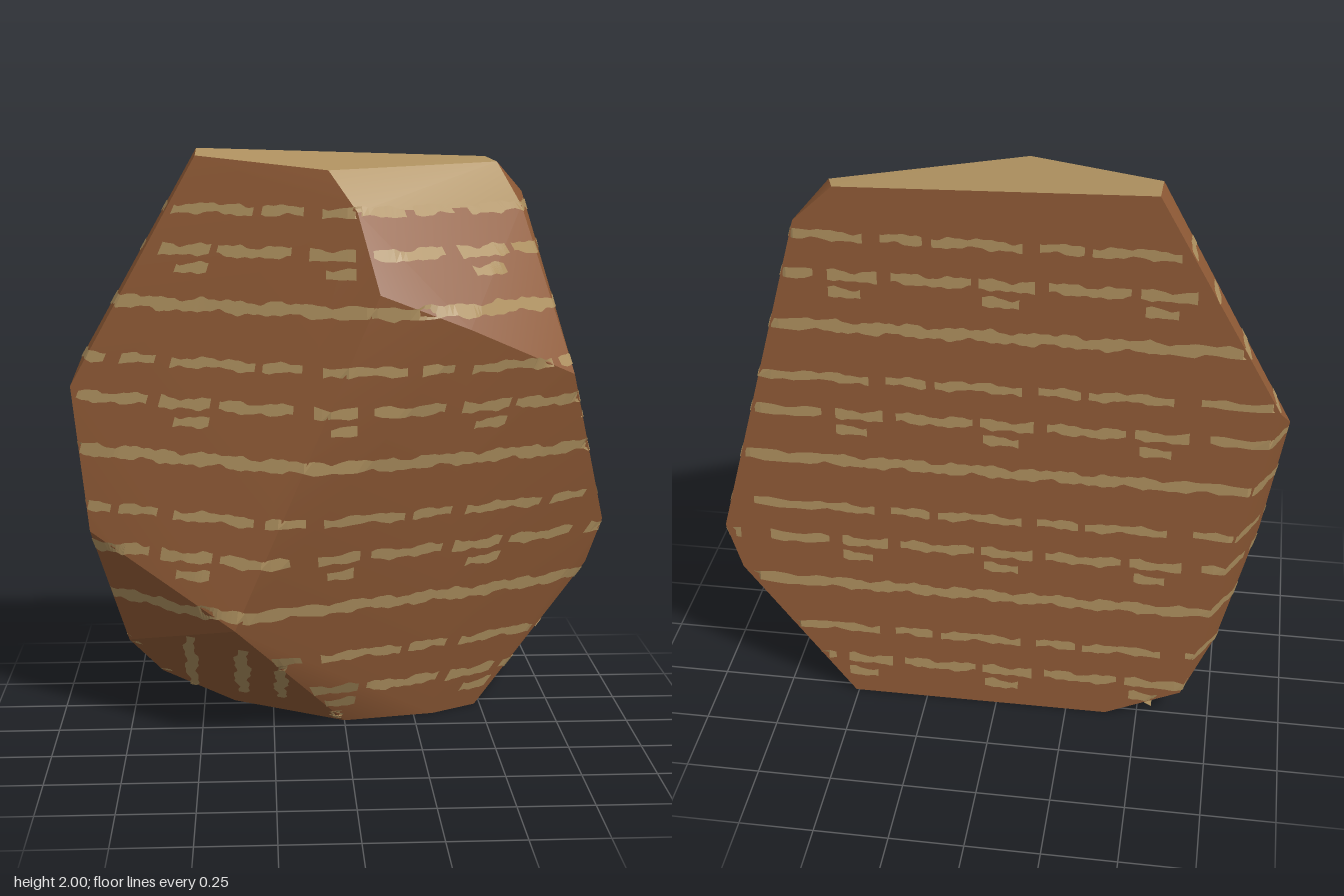
import * as THREE from 'three';
import { ConvexGeometry } from 'three/addons/geometries/ConvexGeometry.js';
import { toCreasedNormals } from 'three/addons/utils/BufferGeometryUtils.js';

const BACK = -0.28;
const LIFT = 0.003; // how far the painted bands sit above the stone

// Corners of the boulder, grouped by region
const corners = [
  // flat back
  [-0.5, 2, BACK], [0.5, 1.97, BACK], [0.63, 1.85, BACK], [0.94, 0.68, BACK],
  [0.89, 0.51, BACK], [0.51, 0, BACK], [-0.39, 0, BACK], [-0.65, 0.12, BACK], [-0.91, 1.28, BACK],
  // top cap and its bevel
  [-0.5, 1.98, -0.12], [-0.06, 1.94, 0.11], [0.53, 1.955, -0.19], [0.03, 1.81, 0.195], [0.61, 1.81, -0.14],
  // front
  [0.1, 1.55, 0.277], [-0.38, 0.43, 0.257], [0.4, 1.43, 0.22],
  // sides
  [0.78, 1.25, 0.02], [0.94, 0.68, -0.24], [-0.945, 1.19, -0.17], [-0.88, 0.7, -0.06], [-0.76, 0.28, -0.15],
  // foot
  [0, 0, -0.05], [0.32, 0, -0.11], [0.48, 0, -0.2],
].map((p) => new THREE.Vector3(...p));

// Planes of the hull; cap planes are marked as sand coloured
function hullPlanes(geometry) {
  const pos = geometry.attributes.position;
  const planes = [];
  for (let i = 0; i < pos.count; i += 3) {
    const [a, b, c] = [0, 1, 2].map((k) => new THREE.Vector3().fromBufferAttribute(pos, i + k));
    const n = new THREE.Triangle(a, b, c).getNormal(new THREE.Vector3());
    const cap = n.y > 0.42 && n.x < 0.88 * n.y && Math.min(a.y, b.y, c.y) > 1.7;
    planes.push({ n, d: n.dot(a), cap });
  }
  return planes;
}

// Point where a level ray from the core leaves the stone
function surfaceHit(planes, y, dx, dz) {
  const core = new THREE.Vector3(0, y, -0.12);
  const dir = new THREE.Vector3(dx, 0, dz).normalize();
  let best = Infinity, plane = planes[0];
  for (const p of planes) {
    const f = p.n.dot(dir);
    if (f < 1e-5) continue;
    const t = (p.d - p.n.dot(core)) / f;
    if (t < best) { best = t; plane = p; }
  }
  return { point: core.addScaledVector(dir, best).addScaledVector(plane.n, LIFT), plane };
}

// Walk around a rectangle: front, right, back, left
function perimeter(s) {
  if (s < 2) return [s - 1, 0.16];
  if (s < 2.56) return [1, 0.16 - (s - 2)];
  if (s < 4.56) return [1 - (s - 2.56), -0.4];
  return [-1, -0.4 + (s - 4.56)];
}

function quad(out, bl, br, tr, tl) {
  for (const v of [bl, br, tr, bl, tr, tl]) out.push(v.x, v.y, v.z);
}

function bufferOf(values) {
  const g = new THREE.BufferGeometry();
  g.setAttribute('position', new THREE.Float32BufferAttribute(values, 3));
  g.computeVertexNormals();
  return g;
}

// Ragged level band; dashes are intervals within a repeat of 0.5
function bandGeometry(planes, y, half, dashes) {
  const out = [], steps = 420;
  const ring = [];
  for (let i = 0; i <= steps; i++) {
    const [dx, dz] = perimeter((i / steps) * 5.12);
    const mid = surfaceHit(planes, y, dx, dz);
    const { n, cap } = mid.plane;
    const sideways = Math.abs(n.x) > Math.abs(n.z);
    const u = sideways ? mid.point.z : mid.point.x;
    const m = ((u % 0.5) + 0.5) % 0.5;
    const dash = dashes.find(([a, b]) => (m >= a && m <= b) || (m + 0.5 >= a && m + 0.5 <= b));
    const under = n.y < -Math.max(Math.abs(n.x), Math.abs(n.z));
    const drift = 0.004 * Math.sin(25 * u) + 0.002 * Math.sin(75 * u + 9 * y);
    const h = half * (0.9 + 0.2 * Math.sin(50.3 * u + 1) + 0.1 * Math.sin(138 * u));
    ring.push({
      on: Boolean(dash) && !cap && !under,
      low: surfaceHit(planes, y + drift - h, dx, dz).point,
      high: surfaceHit(planes, y + drift + h, dx, dz).point,
    });
  }
  for (let i = 0; i < steps; i++) {
    const a = ring[i], b = ring[i + 1];
    if (a.on && b.on) quad(out, a.low, b.low, b.high, a.high);
  }
  return bufferOf(out);
}

// Upright streak on the undercut face
function streakGeometry(planes, x, y0, y1, half) {
  const out = [], steps = 16;
  const at = (px, y) => {
    const z = Math.min(...planes.filter((p) => p.n.z > 0.05).map((p) => (p.d - p.n.x * px - p.n.y * y) / p.n.z));
    return new THREE.Vector3(px, y, z + LIFT * 1.5);
  };
  const row = (i) => {
    const y = y0 + ((y1 - y0) * i) / steps;
    const w = half * (0.55 + 0.45 * Math.sin((Math.PI * i) / steps) + 0.2 * Math.sin(i * 2.1));
    const cx = x + 0.006 * Math.sin(i * 0.9);
    return [at(cx - w, y), at(cx + w, y)];
  };
  for (let i = 0; i < steps; i++) {
    const [l0, r0] = row(i), [l1, r1] = row(i + 1);
    quad(out, l0, r0, r1, l1);
  }
  return bufferOf(out);
}

export function createModel() {
  const model = new THREE.Group();
  model.name = 'bandedBoulder';
  const brown = new THREE.MeshStandardMaterial({ color: 0x925c37 });
  brown.name = 'brownStone';
  const sand = new THREE.MeshStandardMaterial({ color: 0xb09260, side: THREE.DoubleSide });
  sand.name = 'paleSand';

  const add = (name, geometry, material) => {
    const mesh = new THREE.Mesh(geometry, material);
    mesh.name = name;
    model.add(mesh);
  };

  // Stone body with a sand coloured cap
  const hull = new ConvexGeometry(corners);
  const planes = hullPlanes(hull);
  const stone = toCreasedNormals(hull, 0.45);
  stone.clearGroups();
  planes.forEach((p, i) => stone.addGroup(i * 3, 3, p.cap ? 1 : 0));
  add('stone', stone, [brown, sand]);

  // Four rows of bands, repeated every half unit up the stone
  const rows = [
    { y: 0.09, half: 0.018, dashes: [[0.42, 0.54]] },
    { y: 0.15, half: 0.019, dashes: [[0.07, 0.33], [0.37, 0.55]] },
    { y: 0.285, half: 0.017, dashes: [[0.07, 0.2], [0.22, 0.36], [0.41, 0.57]] },
    { y: 0.475, half: 0.022, dashes: [[0, 0.5]] },
  ];
  for (let level = 0; level < 4; level++) {
    for (const { y, half, dashes } of rows) {
      const height = y + level * 0.507;
      if (height < 1.85) add('sandBand', bandGeometry(planes, height, half, dashes), sand);
    }
  }

  // Streaks on the undercut face
  for (const [x, y0, y1, half] of [[-0.54, 0.06, 0.36, 0.022], [-0.36, 0.07, 0.33, 0.026], [-0.225, 0.08, 0.27, 0.022], [-0.03, 0.01, 0.05, 0.02]]) {
    add('sandStreak', streakGeometry(planes, x, y0, y1, half), sand);
  }
  return model;
}
